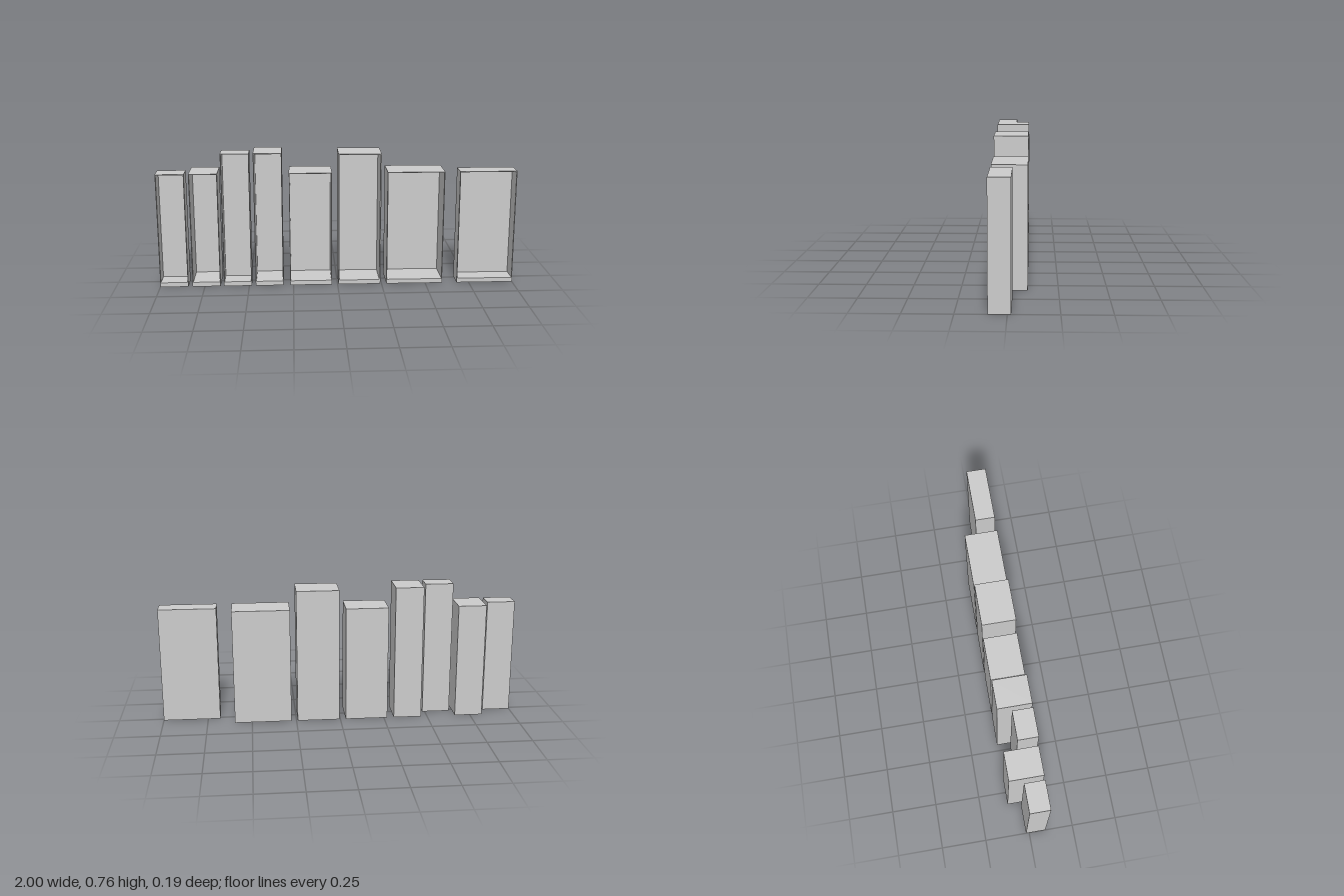
import * as THREE from 'three';

const material = new THREE.MeshStandardMaterial({ color: 0xcccccc, flatShading: true });
const FRONT = 0.093; // all cabinets share one front plane
const FLOOR = 0.025; // plinth floor thickness
const DEEP = 0.186;
const SHALLOW = 0.111;

// left edge x, width, height, depth, wall thickness
const cabinets = [
  [-1.0, 0.157, 0.648, SHALLOW, 0.004],
  [-0.819, 0.157, 0.648, DEEP, 0.004],
  [-0.643, 0.157, 0.76, SHALLOW, 0.004],
  [-0.464, 0.157, 0.76, DEEP, 0.004],
  [-0.269, 0.238, 0.648, DEEP, 0.004],
  [0.005, 0.238, 0.753, DEEP, 0.006],
  [0.278, 0.319, 0.648, DEEP, 0.004],
  [0.681, 0.319, 0.648, SHALLOW, 0.004],
];

function panel(parent, name, w, h, d, x, y, z) {
  const mesh = new THREE.Mesh(new THREE.BoxGeometry(w, h, d), material);
  mesh.name = name;
  mesh.position.set(x, y, z);
  parent.add(mesh);
}

// Open-fronted cabinet, centred on x, with its front on z = 0
function createCabinet(w, h, d, t) {
  const cabinet = new THREE.Group();
  const inner = w - 2 * t;
  panel(cabinet, 'leftSide', t, h, d, (w - t) / 2, h / 2, -d / 2);
  panel(cabinet, 'rightSide', t, h, d, -(w - t) / 2, h / 2, -d / 2);
  panel(cabinet, 'topPanel', inner, t, d, 0, h - t / 2, -d / 2);
  panel(cabinet, 'floorPanel', inner, FLOOR, d, 0, FLOOR / 2, -d / 2);
  panel(cabinet, 'backPanel', inner, h - t - FLOOR, t, 0, (h - t + FLOOR) / 2, -d + t / 2);
  return cabinet;
}

export function createModel() {
  const model = new THREE.Group();
  model.name = 'cabinetRow';
  cabinets.forEach(([x, w, h, d, t], i) => {
    const cabinet = createCabinet(w, h, d, t);
    cabinet.name = `cabinet${i + 1}`;
    cabinet.position.set(x + w / 2, 0, FRONT);
    model.add(cabinet);
  });
  return model;
}
